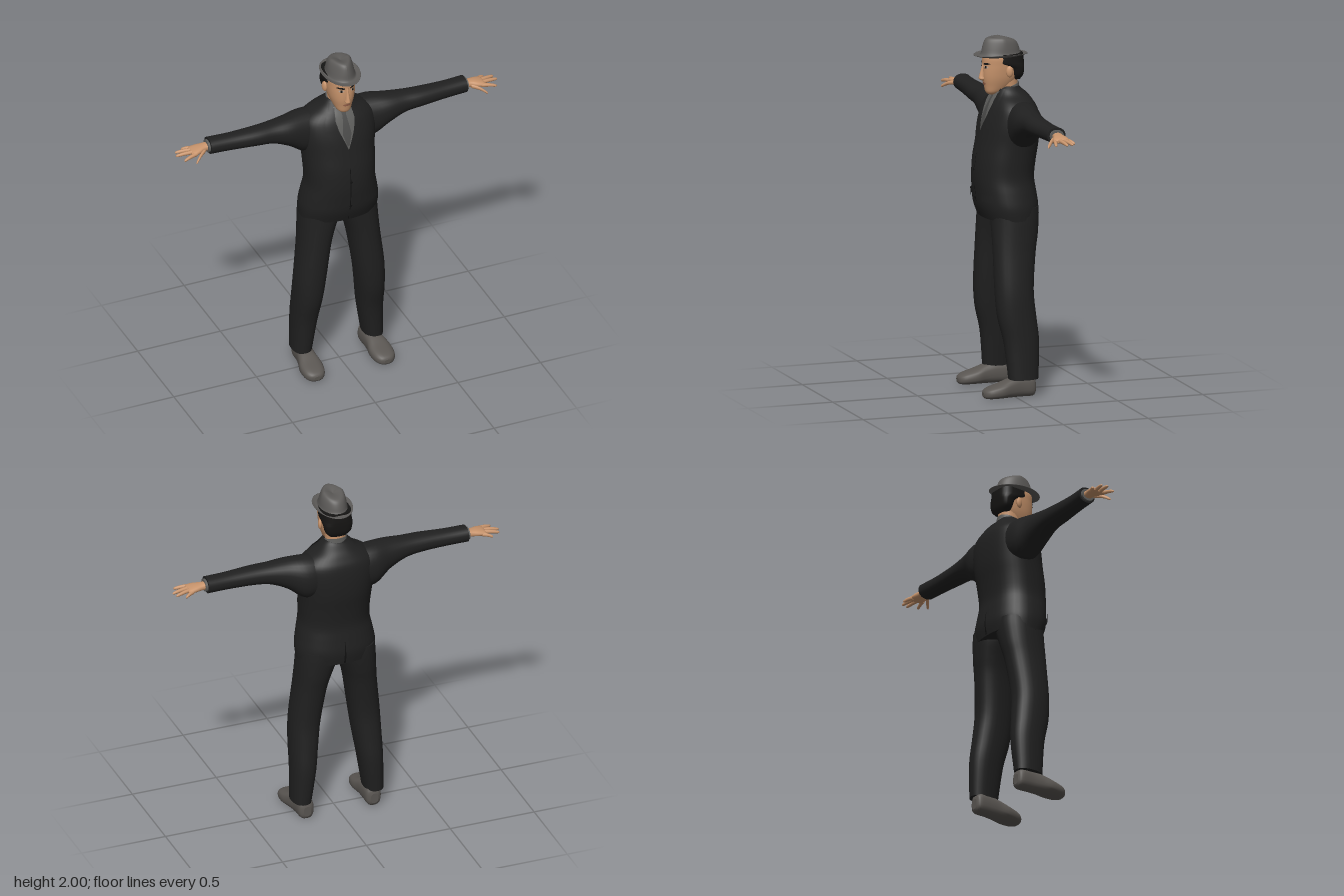
import * as THREE from 'three';

const mat = (name, color, side = THREE.FrontSide) => {
  const m = new THREE.MeshStandardMaterial({ color, side });
  m.name = name;
  return m;
};

// Resample rows of numbers with a smooth curve
function smooth(rows, k = 4) {
  const out = [], at = i => rows[Math.max(0, Math.min(rows.length - 1, i))];
  for (let i = 0; i < rows.length - 1; i++)
    for (let s = 0; s < k; s++) {
      const u = s / k;
      out.push(rows[i].map((b, c) => {
        const a = at(i - 1)[c], d = at(i + 1)[c], e = at(i + 2)[c];
        return b + 0.5 * u * (d - a + u * (2 * a - 5 * b + 4 * d - e + u * (3 * (b - d) + e - a)));
      }));
    }
  out.push(rows[rows.length - 1]);
  return out;
}

// Skin over superellipse rings; row = [position, centreA, centreB, radiusA, radiusB]
function loft(axis, rows, n = 2.2, seg = 28) {
  const place = { y: (t, a, b) => [a, t, b], x: (t, a, b) => [t, a, b], z: (t, a, b) => [a, b, t] }[axis];
  const pos = [], idx = [], flip = axis === 'y';
  const tri = (a, b, c) => (flip ? idx.push(a, c, b) : idx.push(a, b, c));
  const ring = r => {
    for (let j = 0; j < seg; j++) {
      const th = j / seg * Math.PI * 2, c = Math.cos(th), s = Math.sin(th);
      pos.push(...place(r[0], r[1] + r[3] * Math.sign(c) * Math.abs(c) ** (2 / n),
        r[2] + r[4] * Math.sign(s) * Math.abs(s) ** (2 / n)));
    }
  };
  rows.forEach(ring);
  for (let i = 0; i < rows.length - 1; i++)
    for (let j = 0; j < seg; j++) {
      const a = i * seg + j, b = i * seg + (j + 1) % seg;
      tri(a, b, b + seg);
      tri(a, b + seg, a + seg);
    }
  [rows[0], rows[rows.length - 1]].forEach((r, end) => {
    const base = pos.length / 3;
    ring(r);
    pos.push(...place(r[0], r[1], r[2]));
    for (let j = 0; j < seg; j++) {
      const a = base + j, b = base + (j + 1) % seg;
      end ? tri(a, b, base + seg) : tri(b, a, base + seg);
    }
  });
  return build(pos, idx);
}

function build(pos, idx) {
  const g = new THREE.BufferGeometry();
  g.setAttribute('position', new THREE.Float32BufferAttribute(pos, 3));
  g.setIndex(idx);
  g.computeVertexNormals();
  return g;
}

// Thin face laid on the front (or back) of an upright loft; spans = [y, x0, x1] from top down
function patch(body, n, spans, lift, dir = 1) {
  const rows = spans.flatMap((s, i) => i === 0 ? [s] : [1, 2, 3, 4].map(k => s.map((v, c) => spans[i - 1][c] + (v - spans[i - 1][c]) * k / 4)));
  const pos = [], idx = [], w = 8;
  rows.forEach(([y, x0, x1], i) => {
    const k = Math.max(1, body.findIndex(r => r[0] >= y));
    const lo = body[k - 1], hi = body[k], f = (y - lo[0]) / (hi[0] - lo[0]);
    const r = lo.map((v, c) => v + (hi[c] - v) * f);
    for (let j = 0; j <= w; j++) {
      const x = x0 + (x1 - x0) * j / w;
      const q = Math.max(0, 1 - Math.abs(x / r[3]) ** n) ** (1 / n);
      pos.push(x, y, r[2] + dir * (r[4] * q + lift));
      if (i < rows.length - 1 && j < w) {
        const a = i * (w + 1) + j;
        idx.push(a, a + w + 1, a + 1, a + 1, a + w + 1, a + w + 2);
      }
    }
  });
  return build(pos, idx);
}

function mirrored(g) {
  const m = g.clone().scale(-1, 1, 1), ix = m.index.array;
  for (let i = 0; i < ix.length; i += 3) [ix[i], ix[i + 1]] = [ix[i + 1], ix[i]];
  m.computeVertexNormals();
  return m;
}

function bend(g, rule) {
  const p = g.attributes.position, v = new THREE.Vector3();
  for (let i = 0; i < p.count; i++) {
    rule(v.fromBufferAttribute(p, i));
    p.setXYZ(i, v.x, v.y, v.z);
  }
  g.computeVertexNormals();
  return g;
}

// [y, halfWidth, back, front] to a loft row
const fb = ([y, rx, back, front]) => [y, 0, (back + front) / 2, rx, (front - back) / 2];

export function createModel() {
  const model = new THREE.Group();
  const suit = mat('black suit', 0x202020, THREE.DoubleSide), trim = mat('dark trim', 0x111111, THREE.DoubleSide);
  const felt = mat('grey felt', 0x5c5a58, THREE.DoubleSide), leather = mat('grey leather', 0x5a5652);
  const shirt = mat('grey shirt', 0x5e5e5c, THREE.DoubleSide), tieGrey = mat('tie grey', 0x4b4b4a, THREE.DoubleSide);
  const skin = mat('skin', 0xc8946c), hairBlack = mat('black hair', 0x161514, THREE.DoubleSide);
  const eyeWhite = mat('eye white', 0xb5a598, THREE.DoubleSide), lip = mat('lips', 0xa06850, THREE.DoubleSide);
  const add = (name, g, m) => {
    const mesh = new THREE.Mesh(g, m);
    mesh.name = name;
    model.add(mesh);
  };
  const pair = (name, g, m) => {
    add(name + 'Left', g, m);
    add(name + 'Right', mirrored(g), m);
  };

  // Jacket body
  const torso = smooth([[0.99, 0.225, -0.175, 0.125], [1.06, 0.228, -0.185, 0.15], [1.14, 0.215, -0.175, 0.16],
    [1.22, 0.2, -0.165, 0.165], [1.32, 0.203, -0.175, 0.158], [1.42, 0.21, -0.19, 0.138], [1.52, 0.222, -0.192, 0.116],
    [1.6, 0.215, -0.182, 0.09], [1.645, 0.175, -0.16, 0.07], [1.68, 0.115, -0.135, 0.05], [1.71, 0.082, -0.1, 0.035],
    [1.725, 0.066, -0.09, 0.02]].map(fb));
  add('jacketBody', loft('y', torso, 2.3, 40), suit);
  const onTorso = (spans, lift, dir) => patch(torso, 2.3, spans, lift, dir);

  // Shirt front, tie, lapels and jacket details
  add('shirtFront', onTorso([[1.7, -0.05, 0.05], [1.62, -0.06, 0.06], [1.55, -0.04, 0.04], [1.46, -0.004, 0.004]], 0.003), shirt);
  add('tie', onTorso([[1.685, -0.018, 0.018], [1.65, -0.011, 0.011], [1.55, -0.026, 0.026], [1.48, -0.006, 0.006]], 0.006), tieGrey);
  pair('shirtCollarTip', onTorso([[1.7, 0.01, 0.055], [1.66, 0.02, 0.052], [1.62, 0.036, 0.042]], 0.009), shirt);
  pair('lapel', onTorso([[1.715, 0.045, 0.07], [1.63, 0.058, 0.115], [1.575, 0.046, 0.125], [1.47, 0.004, 0.075], [1.35, -0.002, 0.012]], 0.009), suit);
  add('jacketOpening', onTorso([[1.35, -0.002, 0.002], [1.0, -0.004, 0.002]], 0.002), trim);
  for (const y of [1.26, 1.1])
    add('button', onTorso([[y + 0.008, -0.004, 0.004], [y, -0.01, 0.01], [y - 0.008, -0.004, 0.004]], 0.006), trim);
  pair('pocketFlap', onTorso([[1.135, 0.09, 0.17], [1.095, 0.09, 0.175]], 0.008), suit);
  add('backVent', onTorso([[1.13, 0.002, -0.002], [0.995, 0.006, -0.006]], 0.002, -1), trim);

  // Sleeves, cuffs and hands
  pair('sleeve', loft('x', smooth([[0.08, 1.54, -0.06, 0.11, 0.09], [0.2, 1.532, -0.058, 0.125, 0.1], [0.3, 1.562, -0.04, 0.088, 0.085],
    [0.4, 1.58, -0.034, 0.061, 0.068], [0.5, 1.585, -0.029, 0.052, 0.062], [0.65, 1.586, -0.034, 0.046, 0.053],
    [0.775, 1.588, -0.04, 0.045, 0.053]])), suit);
  pair('shirtCuff', loft('x', [[0.76, 1.587, -0.04, 0.034, 0.04], [0.787, 1.587, -0.04, 0.034, 0.04]]), shirt);
  pair('palm', loft('x', smooth([[0.75, 1.587, -0.04, 0.024, 0.03], [0.8, 1.586, -0.04, 0.02, 0.029], [0.84, 1.583, -0.036, 0.019, 0.041],
    [0.875, 1.579, -0.034, 0.015, 0.047], [0.887, 1.577, -0.034, 0.008, 0.042]]), 2.4, 20), skin);
  for (const [x0, y0, z0, x1, y1, z1] of [[0.86, 1.577, -0.069, 0.915, 1.565, -0.096], [0.865, 1.58, -0.047, 0.963, 1.57, -0.07],
    [0.865, 1.58, -0.022, 0.972, 1.57, -0.036], [0.86, 1.578, 0, 0.945, 1.565, 0.021], [0.805, 1.578, -0.015, 0.882, 1.545, 0.045]]) {
    const at = (f, r) => [x0 + (x1 - x0) * f, y0 + (y1 - y0) * f * f, z0 + (z1 - z0) * f, r, r];
    pair('finger', loft('x', smooth([at(0, 0.012), at(0.5, 0.0105), at(0.9, 0.008), at(1, 0.002)]), 2, 10), skin);
  }

  // Trousers and shoes
  pair('trouserLeg', loft('y', smooth([[0.1, 0.215, -0.045, 0.055, 0.085], [0.3, 0.199, -0.04, 0.069, 0.1], [0.45, 0.188, -0.016, 0.078, 0.11],
    [0.6, 0.175, -0.005, 0.085, 0.11], [0.8, 0.149, -0.015, 0.089, 0.12], [0.9, 0.132, -0.024, 0.098, 0.129],
    [1, 0.112, -0.03, 0.112, 0.135], [1.06, 0.11, -0.03, 0.108, 0.135]]), 2.3), suit);
  pair('shoe', loft('z', smooth([[-0.118, 0.2, 0.05, 0.022, 0.03], [-0.1, 0.2, 0.058, 0.044, 0.058], [-0.03, 0.202, 0.06, 0.048, 0.06],
    [0.03, 0.207, 0.054, 0.055, 0.054], [0.09, 0.21, 0.042, 0.067, 0.042], [0.15, 0.212, 0.033, 0.06, 0.033],
    [0.18, 0.212, 0.028, 0.04, 0.024], [0.19, 0.212, 0.026, 0.018, 0.012]]), 2.6, 24), leather);

  // Neck, shirt collar and head
  add('neck', loft('y', smooth([[1.62, 0, -0.03, 0.056, 0.055], [1.7, 0, -0.025, 0.056, 0.06], [1.78, 0, -0.02, 0.06, 0.065]])), skin);
  add('shirtCollar', bend(loft('y', [[1.66, 0, -0.022, 0.074, 0.075], [1.727, 0, -0.025, 0.063, 0.066]]), v => { v.y -= 0.3 * (v.z + 0.03); }), shirt);
  const head = smooth([[1.68, 0.02, 0.045, 0.085], [1.695, 0.04, 0, 0.1], [1.73, 0.056, -0.055, 0.108], [1.77, 0.069, -0.088, 0.116],
    [1.81, 0.076, -0.1, 0.118], [1.85, 0.08, -0.105, 0.116], [1.9, 0.08, -0.1, 0.112], [1.95, 0.055, -0.07, 0.085]].map(fb));
  add('head', loft('y', head, 2.2, 36), skin);
  add('nose', loft('y', smooth([[1.76, 0, 0.115, 0.008, 0.01], [1.769, 0, 0.119, 0.017, 0.02], [1.785, 0, 0.118, 0.013, 0.02],
    [1.82, 0, 0.114, 0.009, 0.014], [1.855, 0, 0.109, 0.007, 0.009]]), 2, 16), skin);
  pair('ear', new THREE.SphereGeometry(1, 14, 10).scale(0.012, 0.032, 0.02).rotateY(-0.3).translate(0.083, 1.815, -0.012), skin);

  // Face details
  const onHead = (spans, lift) => patch(head, 2.2, spans, lift);
  pair('eye', onHead([[1.846, 0.027, 0.04], [1.839, 0.019, 0.049], [1.833, 0.026, 0.041]], 0.002), eyeWhite);
  pair('iris', onHead([[1.847, 0.029, 0.039], [1.833, 0.029, 0.039]], 0.004), hairBlack);
  pair('eyebrow', onHead([[1.864, 0.03, 0.052], [1.858, 0.016, 0.059], [1.852, 0.014, 0.03]], 0.003), hairBlack);
  add('mouth', onHead([[1.75, -0.012, 0.012], [1.743, -0.026, 0.026], [1.735, -0.012, 0.012]], 0.002), lip);

  // Hair around the back and sides
  add('hair', loft('y', smooth([[1.762, 0.05, -0.094, -0.04], [1.79, 0.074, -0.108, -0.035], [1.83, 0.083, -0.113, -0.02],
    [1.85, 0.086, -0.114, 0.03], [1.865, 0.086, -0.114, 0.066], [1.91, 0.084, -0.11, 0.068]].map(fb)), 3), hairBlack);

  // Hat with rolled brim and pinched crown
  const profile = smooth([[0.066, 1.9], [0.085, 1.894], [0.104, 1.9], [0.106, 1.904], [0.088, 1.902], [0.078, 1.912],
    [0.073, 1.945], [0.065, 1.978], [0.052, 1.993], [0.03, 1.99], [0.001, 1.978]], 3);
  const hat = new THREE.LatheGeometry(profile.map(([r, y]) => new THREE.Vector2(r, y)), 48);
  add('hat', bend(hat, v => {
    const up = Math.max(0, (v.y - 1.912) / 0.085), front = Math.max(0, v.z / 0.08), back = Math.max(0, -v.z / 0.08);
    const r = Math.hypot(v.x, v.z), rim = Math.max(0, (r - 0.08) / 0.026);
    v.y += rim * 0.008 * (v.x / r) ** 2 - up * back * 0.022 + up * 0.007 * (1 - Math.min(1, back));
    v.x *= 1 - 0.4 * Math.min(1, up) * Math.min(1, front);
    v.z = v.z * 1.45 + 0.012;
  }), felt);

  return model;
}
